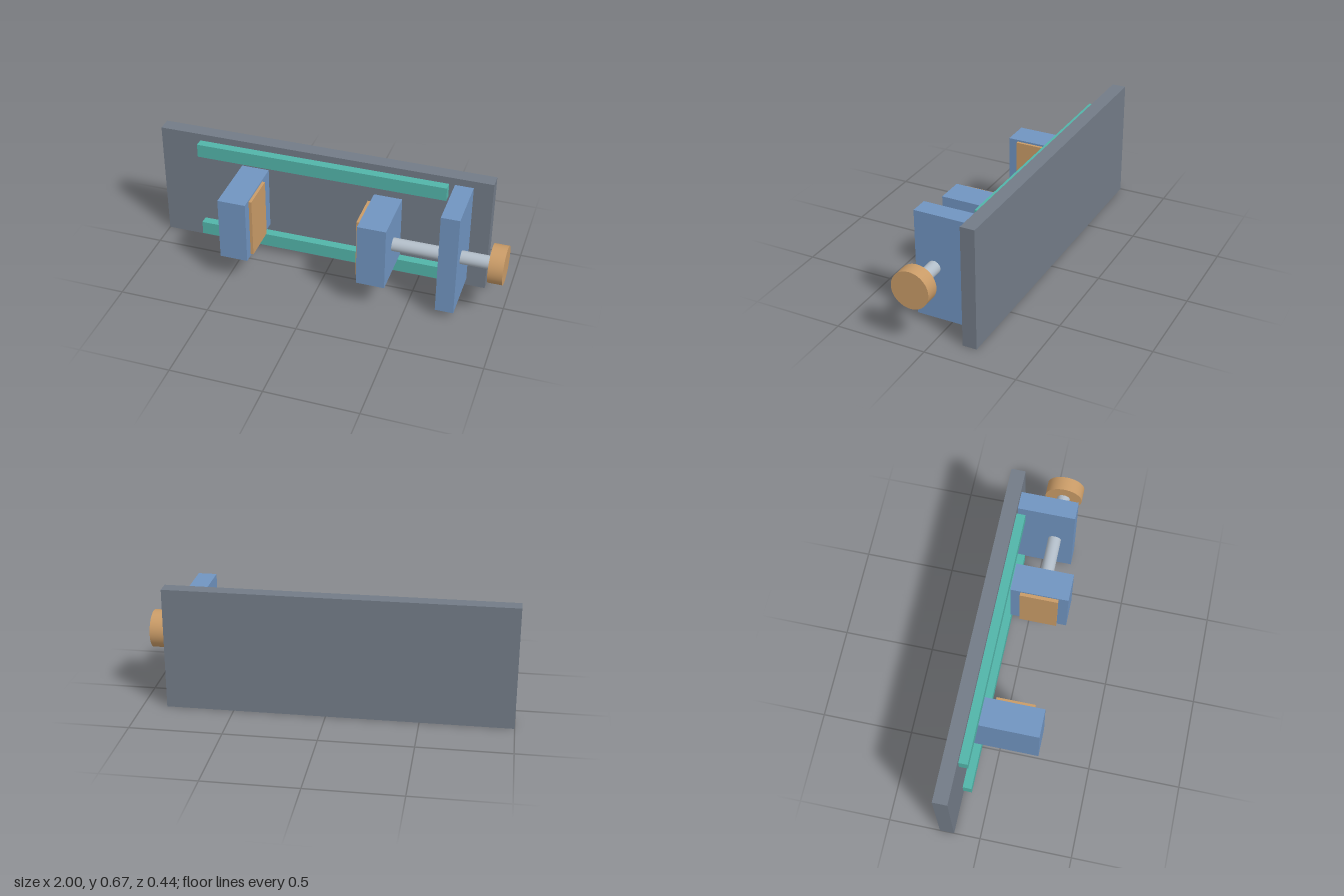
import * as THREE from 'three';

const mat = (name, color) => {
  const m = new THREE.MeshStandardMaterial({ color });
  m.name = name;
  return m;
};

export function createModel() {
  const slate = mat('slate grey', 0x727b87);
  const blue = mat('steel blue', 0x7094c0);
  const teal = mat('teal', 0x52b4a9);
  const tan = mat('tan', 0xc99b67);
  const silver = mat('silver', 0xb2bdc8);

  const vise = new THREE.Group();
  vise.name = 'vise';

  // box given by its extents on each axis
  const box = (name, material, [x0, x1], [y0, y1], [z0, z1]) => {
    const mesh = new THREE.Mesh(new THREE.BoxGeometry(x1 - x0, y1 - y0, z1 - z0), material);
    mesh.position.set((x0 + x1) / 2, (y0 + y1) / 2, (z0 + z1) / 2);
    mesh.name = name;
    vise.add(mesh);
  };

  // round bar lying along x on the screw axis
  const bar = (name, material, radius, x0, x1) => {
    const geometry = new THREE.CylinderGeometry(radius, radius, x1 - x0, 48);
    geometry.rotateZ(-Math.PI / 2);
    const mesh = new THREE.Mesh(geometry, material);
    mesh.position.set((x0 + x1) / 2, 0.337, 0.066);
    mesh.name = name;
    vise.add(mesh);
  };

  // back plate and the two guide rails
  box('basePlate', slate, [-1, 0.868], [0, 0.674], [-0.221, -0.143]);
  box('lowerRail', teal, [-0.77, 0.632], [0.04, 0.117], [-0.143, -0.095]);
  box('upperRail', teal, [-0.77, 0.632], [0.557, 0.634], [-0.143, -0.095]);

  // jaws: the fixed one meets the plate, the sliding one rides at rail height
  const jawY = [0.157, 0.518];
  box('fixedJaw', blue, [-0.528, -0.373], jawY, [-0.143, 0.221]);
  box('slidingJaw', blue, [0.241, 0.396], jawY, [-0.095, 0.221]);

  // jaw pads facing each other
  const padY = [0.167, 0.508], padZ = [-0.04, 0.167];
  box('fixedPad', tan, [-0.373, -0.357], padY, padZ);
  box('slidingPad', tan, [0.222, 0.241], padY, padZ);

  // end block carrying the screw and its knob
  box('screwBlock', blue, [0.663, 0.763], [0.04, 0.634], [-0.143, 0.17]);
  bar('screw', silver, 0.036, 0.39, 0.925);
  bar('knob', tan, 0.104, 0.922, 1);

  return vise;
}
